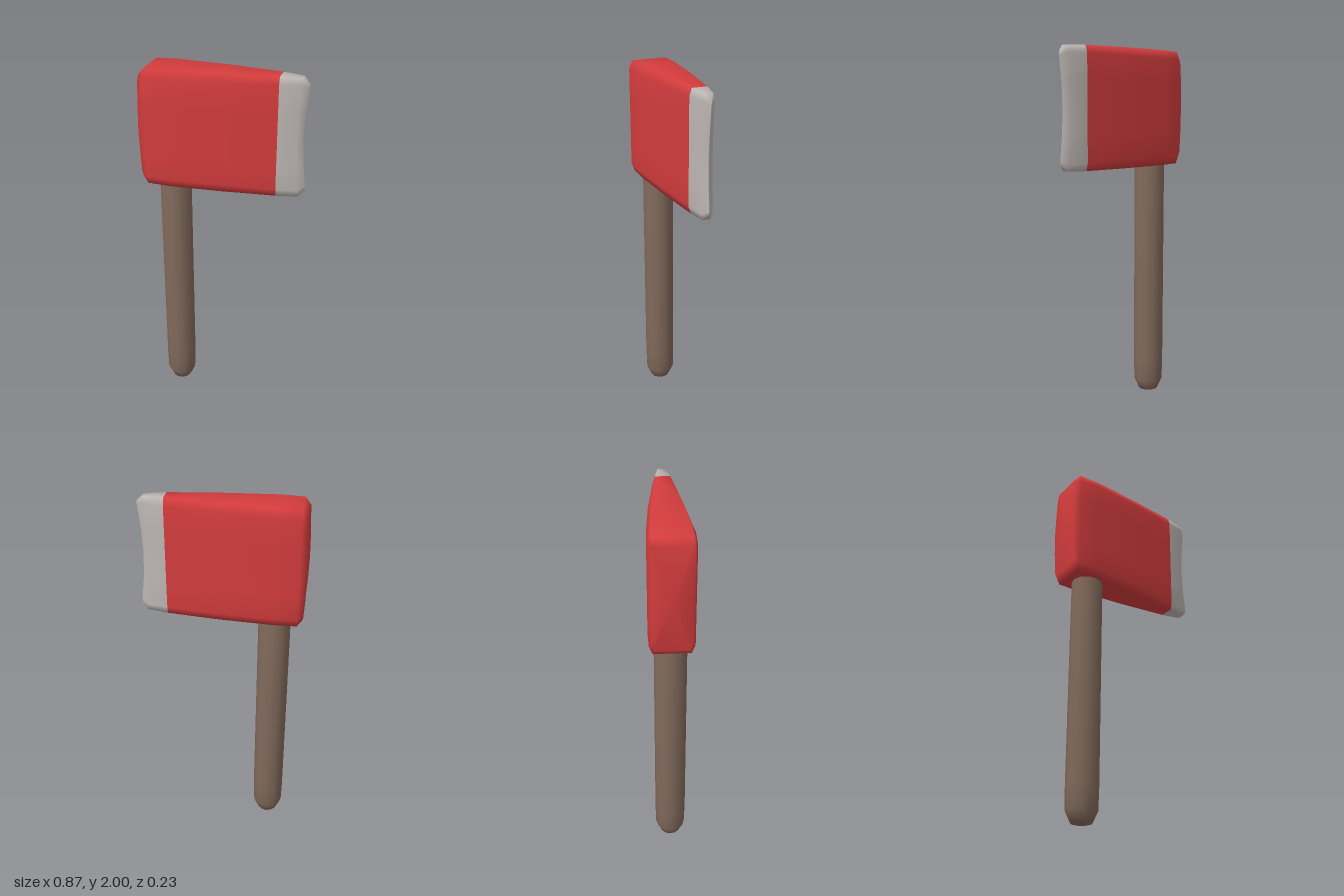
import * as THREE from 'three';

const red = new THREE.MeshStandardMaterial({ color: 0xd43c3d });
red.name = 'red paint';
const steel = new THREE.MeshStandardMaterial({ color: 0xbdb6b3 });
steel.name = 'bare steel';
const wood = new THREE.MeshStandardMaterial({ color: 0x80695a });
wood.name = 'brown wood';

// Cross-sections of the head from poll to edge:
// x, half thickness, bottom, top, bevel height, bevel depth, z shift, bow of x at mid height
const SECTIONS = [
  [-0.43, 0.1, 1.4, 1.955, 0.03, 0.015, 0, -0.009],
  [-0.4, 0.115, 1.362, 1.992, 0.045, 0.018, 0, 0],
  [-0.28, 0.116, 1.358, 1.998, 0.045, 0.022, 0, 0],
  [0, 0.091, 1.357, 2, 0.045, 0.018, -0.004, 0],
  [0.29, 0.052, 1.357, 2, 0.04, 0.012, -0.006, 0],
  [0.4, 0.031, 1.36, 1.997, 0.035, 0.01, -0.006, -0.012],
  [0.435, 0.0015, 1.395, 1.965, 0.02, 0.0007, -0.005, -0.02],
];
const FIRST_STEEL = 4;
const SIDE_STEPS = 4;

// One ring: up the front face, over the top, down the back face
function ring([x, h, y0, y1, b, c, dz, bow]) {
  const half = [[h - c, y0, 0]];
  for (let k = 0; k <= SIDE_STEPS; k++) {
    const t = k / SIDE_STEPS;
    half.push([h, y0 + b + (y1 - y0 - 2 * b) * t, bow * Math.sin(Math.PI * t)]);
  }
  half.push([h - c, y1, 0]);
  const front = half.map(([z, y, d]) => [x + d, y, dz + z]);
  const back = half.map(([z, y, d]) => [x + d, y, dz - z]).reverse();
  return front.concat(back);
}

function makeHead() {
  const rings = SECTIONS.map(ring);
  const n = rings[0].length;
  const last = rings.length - 1;
  const points = rings.flat();
  const index = [];

  // Poll cap
  points.push([-0.439, 1.678, 0]);
  for (let j = 0; j < n; j++) index.push(points.length - 1, j, (j + 1) % n);

  // Sides, split where the steel begins
  let steelStart = 0;
  for (let i = 0; i < last; i++) {
    if (i === FIRST_STEEL) steelStart = index.length;
    for (let j = 0; j < n; j++) {
      const a = i * n + j;
      const d = i * n + (j + 1) % n;
      index.push(a, a + n, d + n, a, d + n, d);
    }
  }

  // Narrow strip closing the cutting edge
  for (let j = 0; j < n / 2 - 1; j++) {
    const a = last * n + j;
    const b = last * n + n - 1 - j;
    index.push(a, b, b - 1, a, b - 1, a + 1);
  }

  const geometry = new THREE.BufferGeometry();
  geometry.setAttribute('position', new THREE.Float32BufferAttribute(points.flat(), 3));
  geometry.setIndex(index);
  geometry.computeVertexNormals();
  geometry.addGroup(0, steelStart, 0);
  geometry.addGroup(steelStart, index.length - steelStart, 1);
  const head = new THREE.Mesh(geometry, [red, steel]);
  head.name = 'axeHead';
  return head;
}

// Round shaft with a softened butt, its top seated inside the head
function makeHandle() {
  const profile = [
    [0, 0], [0.055, 0.014], [0.083, 0.075], [0.086, 0.2], [0.086, 1.4], [0, 1.4],
  ].map(([r, y]) => new THREE.Vector2(r, y));
  const handle = new THREE.Mesh(new THREE.LatheGeometry(profile, 12), wood);
  handle.name = 'handle';
  handle.position.x = -0.277;
  return handle;
}

export function createModel() {
  const axe = new THREE.Group();
  axe.name = 'axe';
  axe.add(makeHead(), makeHandle());
  return axe;
}
